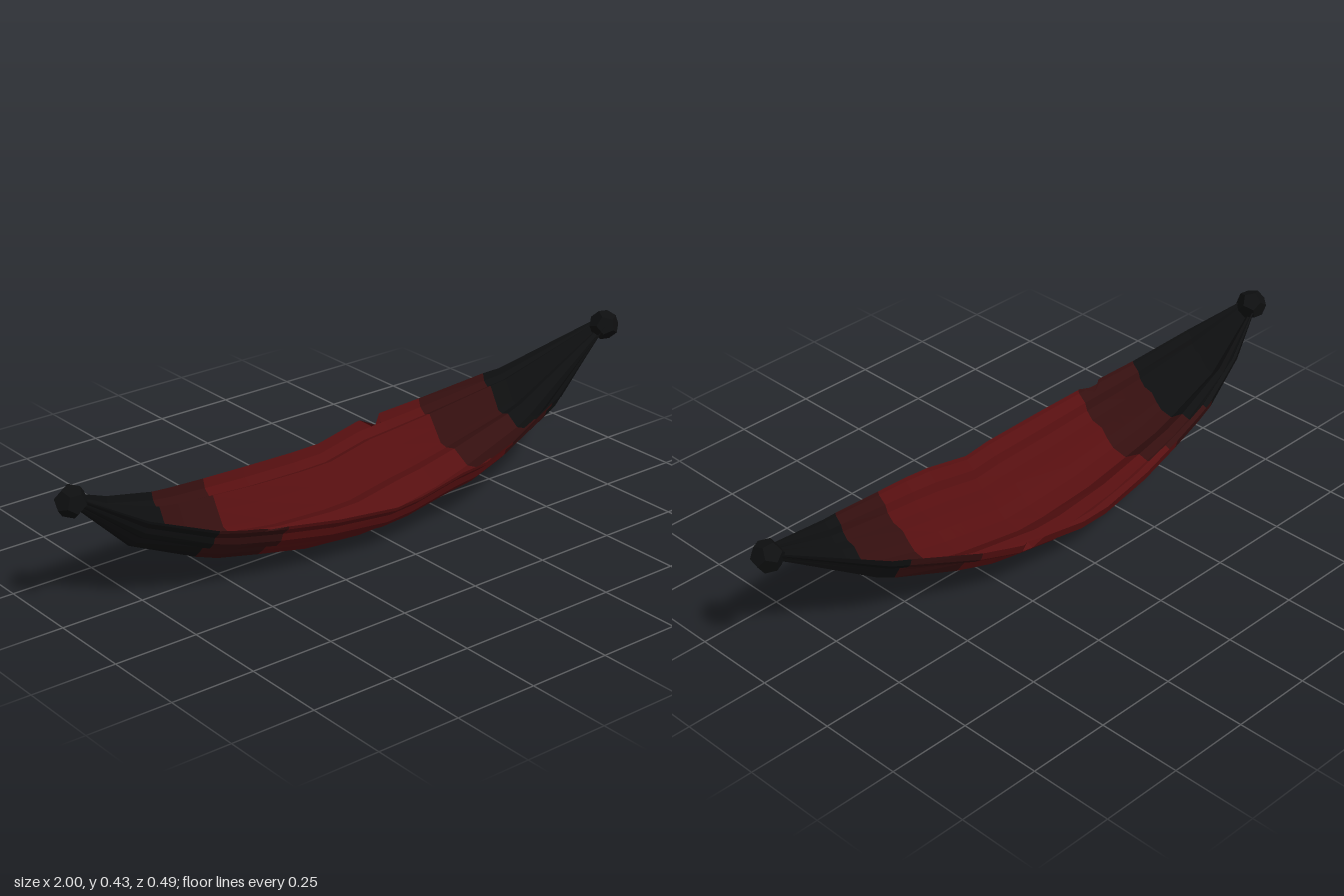
import * as THREE from 'three';

const paint = (name, color, flat = true) => {
  const m = new THREE.MeshStandardMaterial({ color, side: THREE.DoubleSide, flatShading: flat });
  m.name = name;
  return m;
};

// Stations along the sling: x, rim height, belly height, front half-width, back half-width
const stations = [
  [-0.95, 0.375, 0.345, 0.022, 0.022],
  [-0.79, 0.295, 0.185, 0.112, 0.09],
  [-0.61, 0.235, 0.105, 0.172, 0.147],
  [-0.54, 0.222, 0.08, 0.188, 0.162],
  [-0.41, 0.203, 0.053, 0.21, 0.188],
  [-0.25, 0.183, 0.022, 0.23, 0.217],
  [-0.06, 0.167, 0.008, 0.242, 0.24],
  [0.04, 0.167, 0.01, 0.23, 0.242],
  [0.19, 0.197, 0.036, 0.23, 0.246],
  [0.28, 0.205, 0.052, 0.23, 0.24],
  [0.4, 0.227, 0.085, 0.208, 0.212],
  [0.6, 0.278, 0.153, 0.156, 0.148],
  [0.65, 0.288, 0.178, 0.144, 0.13],
  [0.95, 0.41, 0.382, 0.022, 0.022],
];

// Pleated cross-section from front rim to back rim: width fraction, height fraction
const pleats = [
  [1, 1], [0.98, 0.93], [0.86, 0.78], [0.82, 0.62], [0.71, 0.46], [0.53, 0.4],
  [0.42, 0.22], [0.3, 0.07], [0.06, 0], [-0.22, 0.24], [-0.39, 0.18],
  [-0.51, 0.22], [-0.64, 0.5], [-0.76, 0.76], [-0.86, 0.7], [-0.96, 0.82], [-1, 1],
];

// Torn notches in the rim: x, side, depth
const notches = [[-0.45, 1, 0.025], [0.235, -1, 0.028]];

function stationAt(x) {
  let i = 0;
  while (i < stations.length - 2 && stations[i + 1][0] < x) i++;
  const a = stations[i], b = stations[i + 1];
  const t = (x - a[0]) / (b[0] - a[0]);
  return a.map((v, k) => v + (b[k] - v) * t);
}

function section(x) {
  const [, rim, belly, front, back] = stationAt(x);
  return pleats.map(([w, h], j) => {
    let z = w * (w > 0 ? front : back);
    let y = belly + (rim - belly) * h;
    for (const [nx, side, depth] of notches) {
      const atRim = side > 0 ? j === 0 : j === pleats.length - 1;
      if (atRim && Math.abs(x - nx) < 0.001) { z -= side * depth; y -= depth * 0.6; }
    }
    return [x, y, z];
  });
}

// One band of cloth between two x positions
function clothBand(name, x0, x1, material) {
  const cuts = stations.map((s) => s[0]);
  for (const [nx] of notches) cuts.push(nx - 0.035, nx, nx + 0.035);
  const xs = [x0, ...cuts.filter((x) => x > x0 + 0.001 && x < x1 - 0.001).sort((a, b) => a - b), x1];
  const rows = xs.map(section);
  const n = pleats.length;
  const index = [];
  for (let i = 0; i < rows.length - 1; i++) {
    for (let j = 0; j < n - 1; j++) {
      const a = i * n + j, b = a + n;
      index.push(a, a + 1, b, a + 1, b + 1, b);
    }
  }
  const geo = new THREE.BufferGeometry();
  geo.setAttribute('position', new THREE.Float32BufferAttribute(rows.flat(2), 3));
  geo.setIndex(index);
  geo.computeVertexNormals();
  const mesh = new THREE.Mesh(geo, material);
  mesh.name = name;
  return mesh;
}

export function createModel() {
  const red = paint('deep red cloth', 0x560f10);
  const maroon = paint('dark maroon cloth', 0x340f0f);
  const black = paint('black cloth', 0x0e0f10);
  const group = new THREE.Group();
  group.name = 'hammock';

  // Cloth bands from one gathered end to the other
  group.add(
    clothBand('rightEndCloth', -0.95, -0.61, black),
    clothBand('rightBorderCloth', -0.61, -0.41, maroon),
    clothBand('middleCloth', -0.41, 0.4, red),
    clothBand('leftBorderCloth', 0.4, 0.6, maroon),
    clothBand('leftEndCloth', 0.6, 0.95, black),
  );

  // Knots at both ends
  for (const [name, x, y] of [['rightKnot', -0.955, 0.362], ['leftKnot', 0.955, 0.395]]) {
    const knot = new THREE.Mesh(new THREE.DodecahedronGeometry(0.046), black);
    knot.name = name;
    knot.position.set(x, y, 0.003);
    knot.rotation.set(0.3, 0.2, x);
    group.add(knot);
  }
  return group;
}
